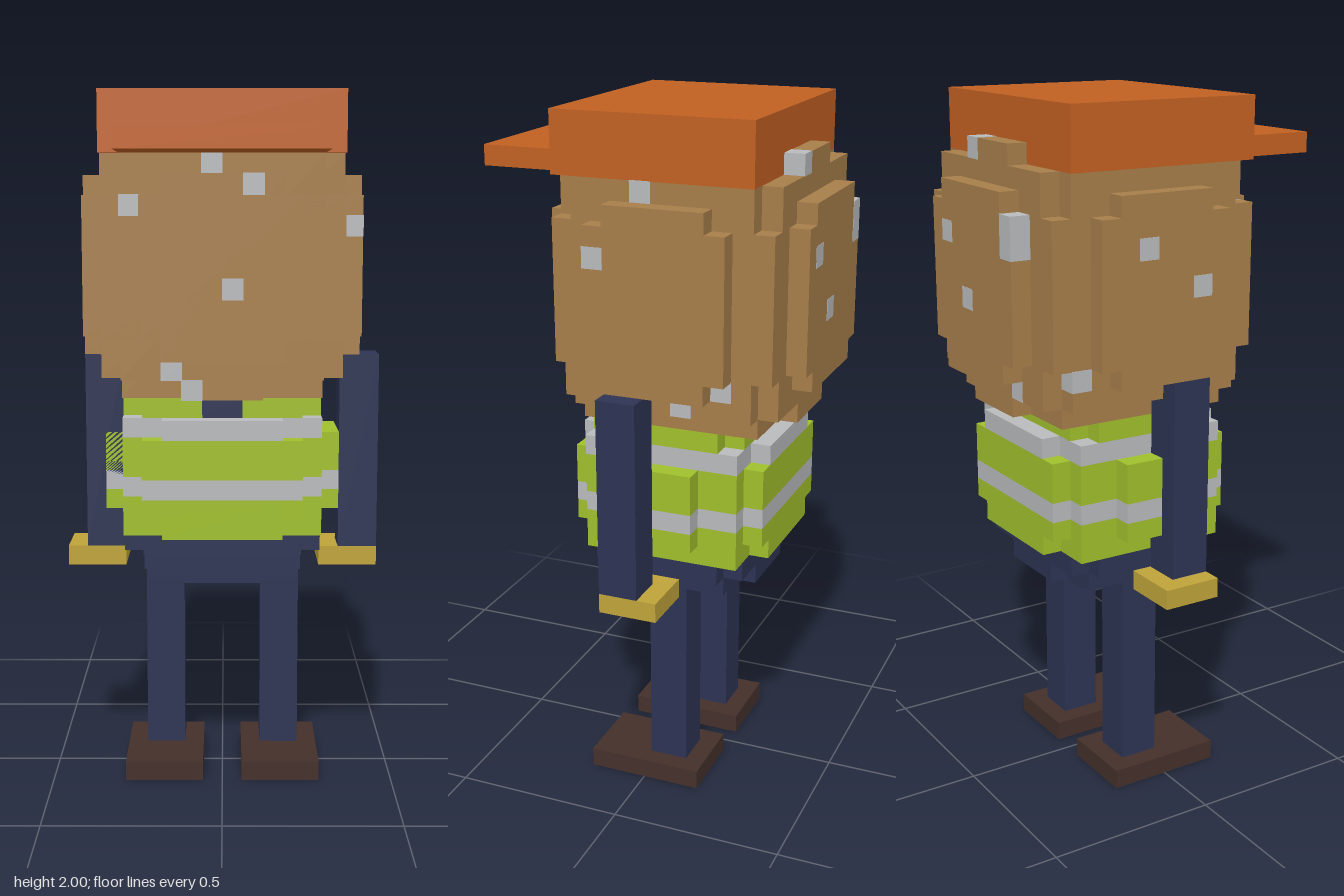
import * as THREE from 'three';

const U = 2 / 35; // one voxel

export function createModel() {
  const model = new THREE.Group();
  model.name = 'blockWorker';
  const mat = (name, color) => {
    const m = new THREE.MeshStandardMaterial({ color });
    m.name = name;
    return m;
  };
  const orange = mat('hatOrange', 0xc26122);
  const skin = mat('skinBrown', 0xa77e4a);
  const grey = mat('silverGrey', 0xb9bbbd);
  const lime = mat('vestLime', 0xa1c02c);
  const navy = mat('clothNavy', 0x2d3454);
  const gold = mat('gloveGold', 0xbfa43a);
  const dark = mat('shoeBrown', 0x44302a);

  const group = (name) => {
    const g = new THREE.Group();
    g.name = name;
    model.add(g);
    return g;
  };
  // Box given by its limits in voxels, optionally grown a little
  const box = (parent, name, m, x0, x1, y0, y1, z0, z1, grow = 0) => {
    const g = new THREE.BoxGeometry(x1 - x0 + grow, y1 - y0 + grow, z1 - z0 + grow);
    g.translate((x0 + x1) / 2, (y0 + y1) / 2, (z0 + z1) / 2);
    g.scale(U, U, U);
    const mesh = new THREE.Mesh(g, m);
    mesh.name = name;
    parent.add(mesh);
  };

  // Hat
  const hat = group('hat');
  box(hat, 'hatCrown', orange, -6, 6, 32, 35, -6, 4);
  box(hat, 'hatBrim', orange, -5, 5, 32, 33, 4, 8);

  // Head: rounded voxel mass as [half width, y0, y1, z0, z1]
  const head = group('head');
  [
    [6, 21, 32, -6, 3],
    [5, 20, 32, -6, 3],
    [6, 23, 30, -7, 4],
    [5, 21, 32, -7, 4],
    [2, 20, 32, -7, 4],
    [2, 32, 33, -7, -6],
    [4, 23, 30, -8, 5],
    [3, 22, 31, -8, 5],
    [7, 23, 30, -5, 2],
    [7, 22, 31, -4, 1],
  ].forEach(([w, y0, y1, z0, z1]) => box(head, 'headLayer', skin, -w, w, y0, y1, z0, z1));

  // Grey speckles, one voxel each, by lowest corner
  const spots = group('speckles');
  [
    [-1, 31, 3], [1, 30, 4], [-5, 29, 3], [0, 25, 4], [-3, 21, 3], [-2, 20, 3],
    [6, 28, 1], [5, 31, -1], [5, 22, -5], [5, 21, -3],
    [-4, 29, -8], [-4, 28, -8], [2, 28, -8], [0, 25, -8], [1, 32, -7], [-3, 21, -7],
    [-7, 28, -3], [-7, 26, 0], [-6, 22, -6],
  ].forEach(([x, y, z]) => box(spots, 'speckle', grey, x, x + 1, y, y + 1, z, z + 1, 0.04));

  // Vest: the layers are cut into coloured bands
  const vest = group('vest');
  const vestLayers = [
    [5, 13, 19, -5, 3],
    [5, 19, 20, -4, 2],
    [4, 19, 20, -5, 3],
    [3, 13, 19, -6, 4],
    [4, 14, 18, -6, 4],
    [6, 14, 18, -3, 1],
  ];
  [[13, 15, lime], [15, 16, grey], [16, 18, lime], [18, 19, grey], [19, 20, lime]].forEach(([b0, b1, m]) => {
    vestLayers.forEach(([w, y0, y1, z0, z1]) => {
      const lo = Math.max(b0, y0);
      const hi = Math.min(b1, y1);
      if (hi > lo) box(vest, 'vestBand', m, -w, w, lo, hi, z0, z1);
    });
  });
  box(vest, 'collar', navy, -1, 1, 19, 20, 2, 3.04);

  // Hips, stepping in towards the legs
  const hips = group('hips');
  [
    [5, 12, 13, -4, 2],
    [4, 12, 13, -5, 3],
    [4, 11, 12, -4, 2],
    [2, 11, 12, -5, 3],
    [4, 10, 11, -2, 0],
    [2, 10, 11, -3, 1],
  ].forEach(([w, y0, y1, z0, z1]) => box(hips, 'hipLayer', navy, -w, w, y0, y1, z0, z1));

  // Arms sit one voxel off mirror symmetry
  const arms = group('arms');
  box(arms, 'leftArm', navy, 6, 8, 12, 22, -1, 1);
  box(arms, 'rightArm', navy, -7, -5, 12, 22, -1, 1);
  box(arms, 'leftGlove', gold, 5, 8, 11, 12, -2, 1);
  box(arms, 'rightGlove', gold, -8, -5, 11, 12, -2, 1);

  // Legs and shoes
  const legs = group('legs');
  [['left', 3], ['right', -3]].forEach(([side, x]) => {
    box(legs, side + 'Leg', navy, x - 1, x + 1, 1, 10, -2, 0);
    box(legs, side + 'Shoe', dark, x - 2, x + 2, 0, 1, -3, 3);
  });

  return model;
}
